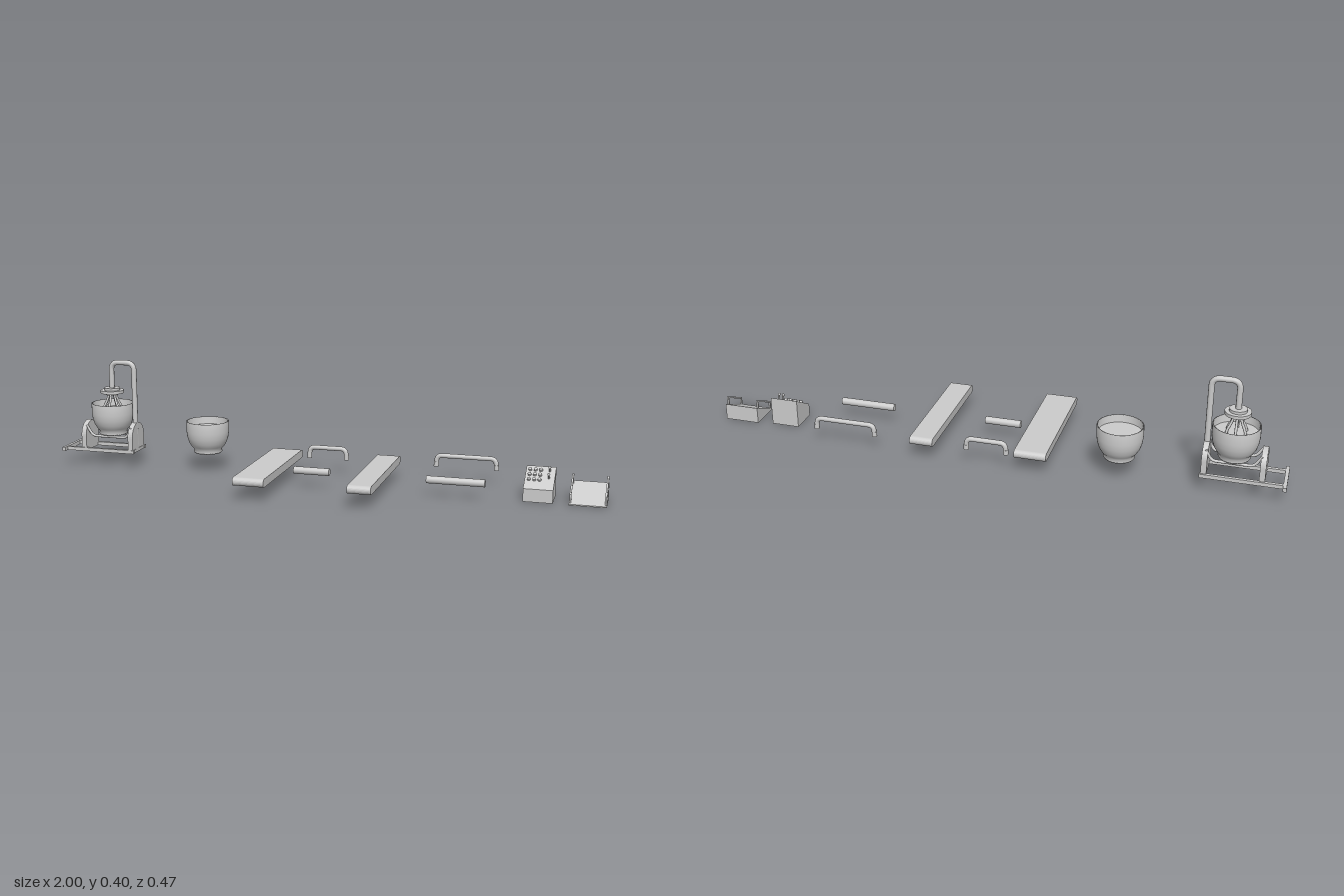
import * as THREE from 'three';

const grey = new THREE.MeshStandardMaterial({ color: 0xcccccc, side: THREE.DoubleSide });
const V = (x, y, z) => new THREE.Vector3(x, y, z);

function add(parent, name, geometry, x = 0, y = 0, z = 0) {
  const mesh = new THREE.Mesh(geometry, grey);
  mesh.name = name;
  mesh.position.set(x, y, z);
  parent.add(mesh);
  return mesh;
}

const box = (w, h, d) => new THREE.BoxGeometry(w, h, d);
const disc = (r, h, n = 32) => new THREE.CylinderGeometry(r, r, h, n);

// Side outline given as [z, y] pairs, extruded along x from x = 0
function sideExtrude(shape, width) {
  return new THREE.ExtrudeGeometry(shape, { depth: width, bevelEnabled: false, curveSegments: 12 })
    .rotateY(Math.PI / 2);
}
function outline(points) {
  return new THREE.Shape(points.map(([z, y]) => new THREE.Vector2(-z, y)));
}

// Pipe along straight runs with rounded corners and closed ends
function pipe(points, r, bend) {
  const path = new THREE.CurvePath();
  let from = points[0];
  for (let i = 1; i < points.length - 1; i++) {
    const p = points[i];
    const a = p.clone().add(points[i - 1].clone().sub(p).setLength(bend));
    const b = p.clone().add(points[i + 1].clone().sub(p).setLength(bend));
    path.add(new THREE.LineCurve3(from, a));
    path.add(new THREE.QuadraticBezierCurve3(a, p, b));
    from = b;
  }
  path.add(new THREE.LineCurve3(from, points[points.length - 1]));
  return new THREE.TubeGeometry(path, 64, r, 12, false);
}

// Open bowl on a foot ring, with its filling
function bowl(parent, x, y, z) {
  const g = new THREE.Group();
  g.name = 'bowl';
  g.position.set(x, y, z);
  const profile = [[0, 0], [0.05, 0], [0.053, 0.004], [0.05, 0.013], [0.06, 0.024], [0.069, 0.039],
    [0.075, 0.058], [0.078, 0.08], [0.078, 0.117], [0.074, 0.117], [0.074, 0.08], [0.066, 0.045],
    [0.045, 0.02], [0, 0.015]];
  add(g, 'bowlShell', new THREE.LatheGeometry(profile.map(p => new THREE.Vector2(...p)), 40));
  add(g, 'filling', disc(0.074, 0.004, 40), 0, 0.088, 0);
  parent.add(g);
}

function mixer() {
  const g = new THREE.Group();
  g.name = 'mixer';
  const cx = -0.823, cz = -0.135;
  // Floor frame
  for (const z of [-0.187, -0.085]) add(g, 'baseRail', box(0.28, 0.013, 0.012), -0.86, 0.062, z);
  add(g, 'endBar', box(0.012, 0.014, 0.15), -0.994, 0.062, cz);
  for (const x of [-0.92, -0.73]) add(g, 'crossBar', box(0.014, 0.012, 0.1), x, 0.062, cz);
  // Round-topped side plates
  const plate = new THREE.Shape();
  plate.moveTo(-0.052, 0.068);
  plate.lineTo(0.052, 0.068);
  plate.lineTo(0.052, 0.113);
  plate.absarc(0, 0.113, 0.052, 0, Math.PI, false);
  plate.closePath();
  for (const x of [-0.93, -0.743]) add(g, 'sidePlate', sideExtrude(plate, 0.019), x, 0, cz);
  // Cradle under the bowl
  for (const z of [-0.17, -0.1]) {
    add(g, 'cradle', pipe([V(-0.915, 0.15, z), V(-0.89, 0.112, z), V(-0.755, 0.112, z), V(-0.735, 0.15, z)], 0.005, 0.015));
  }
  bowl(g, cx, 0.118, cz);
  // Arched column and drive head
  add(g, 'column', pipe([V(-0.733, 0.08, cz), V(-0.733, 0.388, cz), V(cx, 0.388, cz), V(cx, 0.285, cz)], 0.0098, 0.028));
  add(g, 'headCap', disc(0.029, 0.009), cx, 0.288, cz);
  add(g, 'headDisc', disc(0.043, 0.011), cx, 0.278, cz);
  add(g, 'headCollar', disc(0.023, 0.007), cx, 0.269, cz);
  // Whisk prongs
  for (let i = 0; i < 6; i++) {
    const a = i * Math.PI / 3;
    const points = [[0.012, 0.268], [0.02, 0.245], [0.034, 0.215], [0.036, 0.185], [0.022, 0.16], [0, 0.15]];
    const curve = new THREE.CatmullRomCurve3(points.map(([r, y]) => V(cx + r * Math.sin(a), y, cz + r * Math.cos(a))));
    add(g, 'whiskProng', new THREE.TubeGeometry(curve, 24, 0.0045, 8));
  }
  return g;
}

// Belt slab with round ends
function conveyor(parent, x0, x1, z0, z1) {
  const r = 0.0145, y = 0.066;
  const s = new THREE.Shape();
  s.moveTo(-z1 + r, y - r);
  s.lineTo(-z0 - r, y - r);
  s.absarc(-z0 - r, y, r, -Math.PI / 2, Math.PI / 2, false);
  s.lineTo(-z1 + r, y + r);
  s.absarc(-z1 + r, y, r, Math.PI / 2, Math.PI * 1.5, false);
  add(parent, 'conveyorBelt', sideExtrude(s, x1 - x0), x0, 0, 0);
}

// Handrail with feet, and the roller in front of it
function railAndRoller(parent, x0, x1, r0, r1) {
  const z = -0.215, inset = 0.012;
  add(parent, 'handrail', pipe([V(x0 + 0.008, 0.056, z), V(x0 + inset, 0.095, z), V(x1 - inset, 0.095, z), V(x1 - 0.008, 0.056, z)], 0.0085, 0.018));
  for (const x of [x0 + 0.009, x1 - 0.009]) add(parent, 'railFoot', disc(0.009, 0.018, 16), x, 0.064, z);
  add(parent, 'roller', disc(0.013, r1 - r0, 20).rotateZ(Math.PI / 2), (r0 + r1) / 2, 0.061, -0.001);
}

function controlBox() {
  const g = new THREE.Group();
  g.name = 'controlBox';
  add(g, 'housing', sideExtrude(outline([[-0.03, 0], [-0.03, 0.045], [-0.129, 0.102], [-0.129, 0]]), 0.1), 0.72, 0, 0);
  // Controls sit square on the sloping panel
  const panel = new THREE.Group();
  panel.name = 'panel';
  panel.position.set(0.77, 0.0735, -0.0795);
  panel.rotation.x = Math.atan2(0.057, 0.099);
  for (let row = 0; row < 3; row++) {
    for (let col = 0; col < 3; col++) {
      add(panel, 'button', disc(0.006, 0.008, 16), -0.036 + col * 0.018, 0.003, -0.036 + row * 0.024);
    }
  }
  for (const z of [-0.034, 0]) {
    add(panel, 'lever', disc(0.003, 0.018, 10), 0.03, 0.008, z);
    add(panel, 'leverKnob', new THREE.SphereGeometry(0.005, 12, 8), 0.03, 0.018, z);
  }
  g.add(panel);
  return g;
}

function chute() {
  const g = new THREE.Group();
  g.name = 'chute';
  add(g, 'ramp', sideExtrude(outline([[-0.025, 0], [-0.025, 0.004], [-0.14, 0.058], [-0.14, 0]]), 0.124), 0.873, 0, 0);
  // Side rails parallel to the ramp
  for (const x of [0.877, 0.993]) {
    add(g, 'rail', sideExtrude(outline([[-0.031, 0.03], [-0.031, 0.036], [-0.128, 0.084], [-0.128, 0.078]]), 0.006), x - 0.003, 0, 0);
    add(g, 'frontPost', box(0.006, 0.028, 0.006), x, 0.018, -0.034);
    add(g, 'backPost', box(0.006, 0.032, 0.006), x, 0.064, -0.125);
  }
  return g;
}

export function createModel() {
  const model = new THREE.Group();
  model.name = 'bakeryLine';
  model.add(mixer());
  bowl(model, -0.45, 0.068, -0.147);
  conveyor(model, -0.22, -0.11, -0.232, 0.235);
  conveyor(model, 0.175, 0.256, -0.237, 0.227);
  railAndRoller(model, -0.088, 0.069, -0.073, 0.055);
  railAndRoller(model, 0.382, 0.614, 0.397, 0.597);
  model.add(controlBox(), chute());
  return model;
}
